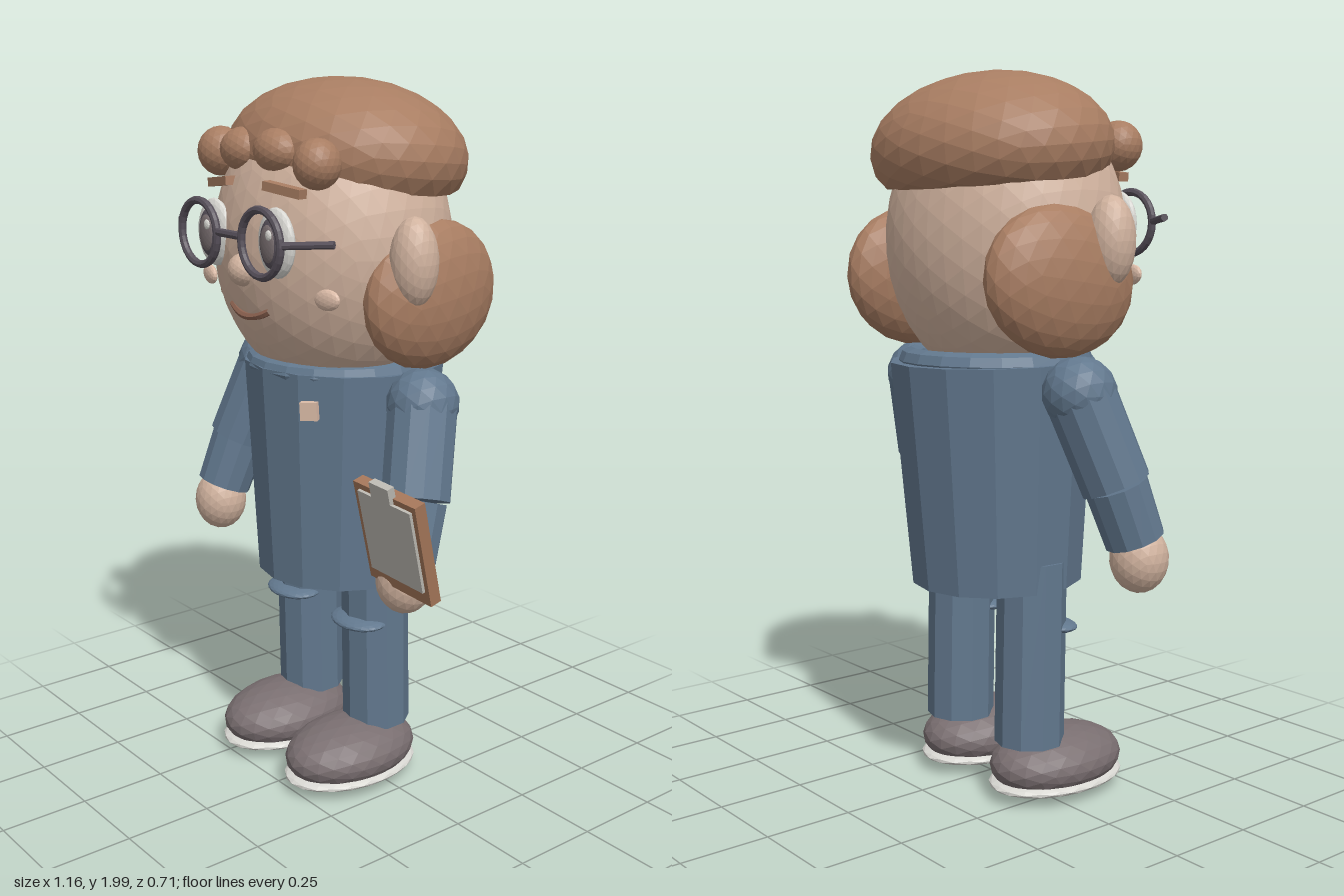
import * as THREE from 'three';

const mat = (name, color) => {
  const m = new THREE.MeshStandardMaterial({ color, flatShading: true });
  m.name = name;
  return m;
};

export function createModel() {
  const skin = mat('skin', 0xd0b29e);
  const blush = mat('blush', 0xdcbca8);
  const hair = mat('hair brown', 0xa87d62);
  const blue = mat('denim blue', 0x62788e);
  const shoe = mat('shoe grey', 0x7a6f71);
  const dark = mat('frame dark', 0x57505a);
  const white = mat('off white', 0xd8d7d2);
  const paper = mat('paper grey', 0xbdbab3);
  const wood = mat('board brown', 0xa5775a);
  const lip = mat('mouth brown', 0x8c6250);

  const root = new THREE.Group();
  root.name = 'figure';
  const body = new THREE.Group();
  body.name = 'person';
  body.position.x = -0.06;
  root.add(body);

  const add = (name, geo, material, pos = [0, 0, 0], rot = [0, 0, 0], parent = body) => {
    const m = new THREE.Mesh(geo, material);
    m.name = name;
    m.position.set(...pos);
    m.rotation.set(...rot);
    parent.add(m);
    return m;
  };
  // faceted ellipsoid
  const blob = (rx, ry, rz, detail = 3) => new THREE.IcosahedronGeometry(1, detail).scale(rx, ry, rz);
  // tapered limb between two points
  const limb = (name, a, b, ra, rb, material, sides = 12) => {
    const p = new THREE.Vector3(...a), q = new THREE.Vector3(...b);
    const dir = p.clone().sub(q);
    const m = add(name, new THREE.CylinderGeometry(ra, rb, dir.length(), sides), material);
    m.position.copy(p).add(q).multiplyScalar(0.5);
    m.quaternion.setFromUnitVectors(new THREE.Vector3(0, 1, 0), dir.normalize());
    return m;
  };

  // head and features on the centre line
  add('head', blob(0.36, 0.41, 0.31, 6), skin, [0, 1.55, 0]);
  add('nose', blob(0.047, 0.045, 0.045), skin, [0, 1.505, 0.295]);
  const smile = new THREE.QuadraticBezierCurve3(
    new THREE.Vector3(-0.085, 1.402, 0.275),
    new THREE.Vector3(0, 1.355, 0.3),
    new THREE.Vector3(0.085, 1.402, 0.275));
  add('mouth', new THREE.TubeGeometry(smile, 12, 0.01, 6), lip);

  // hair cap, cut flat underneath
  const cap = blob(1, 1, 1, 4);
  const cp = cap.attributes.position;
  for (let i = 0; i < cp.count; i++) cp.setY(i, Math.max(cp.getY(i), -0.42));
  cap.scale(0.368, 0.207, 0.305);
  add('hairCap', cap, hair, [0, 1.79, -0.05], [-0.1, 0, 0]);

  // fringe curls
  [[-0.225, 1.797, 0.21, 0.068, 0.068], [-0.095, 1.81, 0.22, 0.076, 0.06],
    [0.06, 1.815, 0.22, 0.078, 0.06], [0.21, 1.79, 0.21, 0.063, 0.066]]
    .forEach(([x, y, z, r, ry]) => add('fringeCurl', blob(r, ry, 0.064), hair, [x, y, z]));

  // torso and collar
  add('torso', new THREE.CylinderGeometry(0.285, 0.24, 0.62, 14), blue, [0, 0.912, -0.035], [-0.025, 0, 0]);
  add('collar', new THREE.TorusGeometry(0.235, 0.035, 8, 20), blue, [0, 1.22, -0.03], [Math.PI / 2, 0, 0]);
  add('chestBadge', new THREE.BoxGeometry(0.048, 0.05, 0.02), blush, [0.16, 1.135, 0.203], [0, 0.6, 0.05]);

  for (const s of [-1, 1]) {
    const side = s > 0 ? 'left' : 'right';

    // hair puffs, ears, cheeks and brows
    add(side + 'HairPuff', blob(0.1, 0.198, 0.23), hair, [s * 0.32, 1.443, -0.08], [0.15, -s * -0.08, 0]);
    add(side + 'Ear', blob(0.066, 0.118, 0.064), skin, [s * 0.385, 1.545, 0.035]);
    add(side + 'Cheek', blob(0.042, 0.028, 0.014, 2), blush, [s * 0.27, 1.453, 0.226], [0, s * 0.2, s * 0.1]);
    add(side + 'Brow', new THREE.BoxGeometry(0.128, 0.024, 0.03), hair, [s * 0.143, 1.724, 0.265], [0, s * 0.2, -s * 0.12]);

    // eyes
    add(side + 'EyeWhite', blob(0.074, 0.092, 0.026), white, [s * 0.142, 1.59, 0.29]);
    add(side + 'Iris', blob(0.046, 0.066, 0.018), dark, [s * 0.142, 1.59, 0.307]);
    add(side + 'Pupil', blob(0.032, 0.05, 0.012), shoe, [s * 0.142, 1.59, 0.317]);
    add(side + 'EyeGlint', blob(0.012, 0.014, 0.006, 1), white, [s * 0.142 + 0.014, 1.614, 0.326]);

    // glasses
    add(side + 'GlassesRim', new THREE.TorusGeometry(0.086, 0.011, 8, 28), dark, [s * 0.142, 1.593, 0.341]);
    limb(side + 'GlassesTemple', [s * 0.235, 1.597, 0.338], [s * 0.35, 1.606, 0.265], 0.01, 0.01, dark, 8);

    // arm
    const shoulder = [s * 0.348, 1.155, -0.035], elbow = [s * 0.41, 0.915, 0.04];
    const wrist = [s * 0.432, 0.765, 0.09];
    add(side + 'Shoulder', blob(0.098, 0.098, 0.1, 2), blue, shoulder);
    limb(side + 'UpperSleeve', shoulder, elbow, 0.096, 0.094, blue);
    limb(side + 'ForearmSleeve', elbow, wrist, 0.086, 0.081, blue);
    add(side + 'Hand', blob(0.08, 0.093, 0.078), skin, [s * 0.438, 0.715, 0.1]);

    // leg with knee fold
    limb(side + 'Leg', [s * 0.156, 0.68, -0.03], [s * 0.156, 0.165, -0.038], 0.096, 0.097, blue, 10);
    add(side + 'KneeFold', blob(0.096, 0.02, 0.07), blue, [s * 0.156, 0.49, 0.028], [0.05, 0, 0]);

    // shoe
    add(side + 'Shoe', blob(0.147, 0.092, 0.21), shoe, [s * 0.157, 0.096, 0.06]);
    add(side + 'ShoeSole', blob(0.146, 0.03, 0.214), white, [s * 0.157, 0.046, 0.06]);
  }
  limb('glassesBridge', [-0.05, 1.603, 0.341], [0.05, 1.603, 0.341], 0.011, 0.011, dark, 8);

  // clipboard held in the left hand
  const board = new THREE.Group();
  board.name = 'clipboard';
  board.position.set(0.452, 0.865, 0.192);
  board.rotation.set(0.27, 0, -0.07);
  root.add(board);
  add('clipboardBack', new THREE.BoxGeometry(0.235, 0.295, 0.034), wood, [0, 0, 0], [0, 0, 0], board);
  add('paperSheet', new THREE.BoxGeometry(0.198, 0.238, 0.009), paper, [0.004, 0.012, 0.021], [0, 0, 0], board);
  add('paperClip', new THREE.BoxGeometry(0.072, 0.045, 0.022), paper, [0, 0.155, 0.018], [0, 0, 0], board);

  return root;
}
